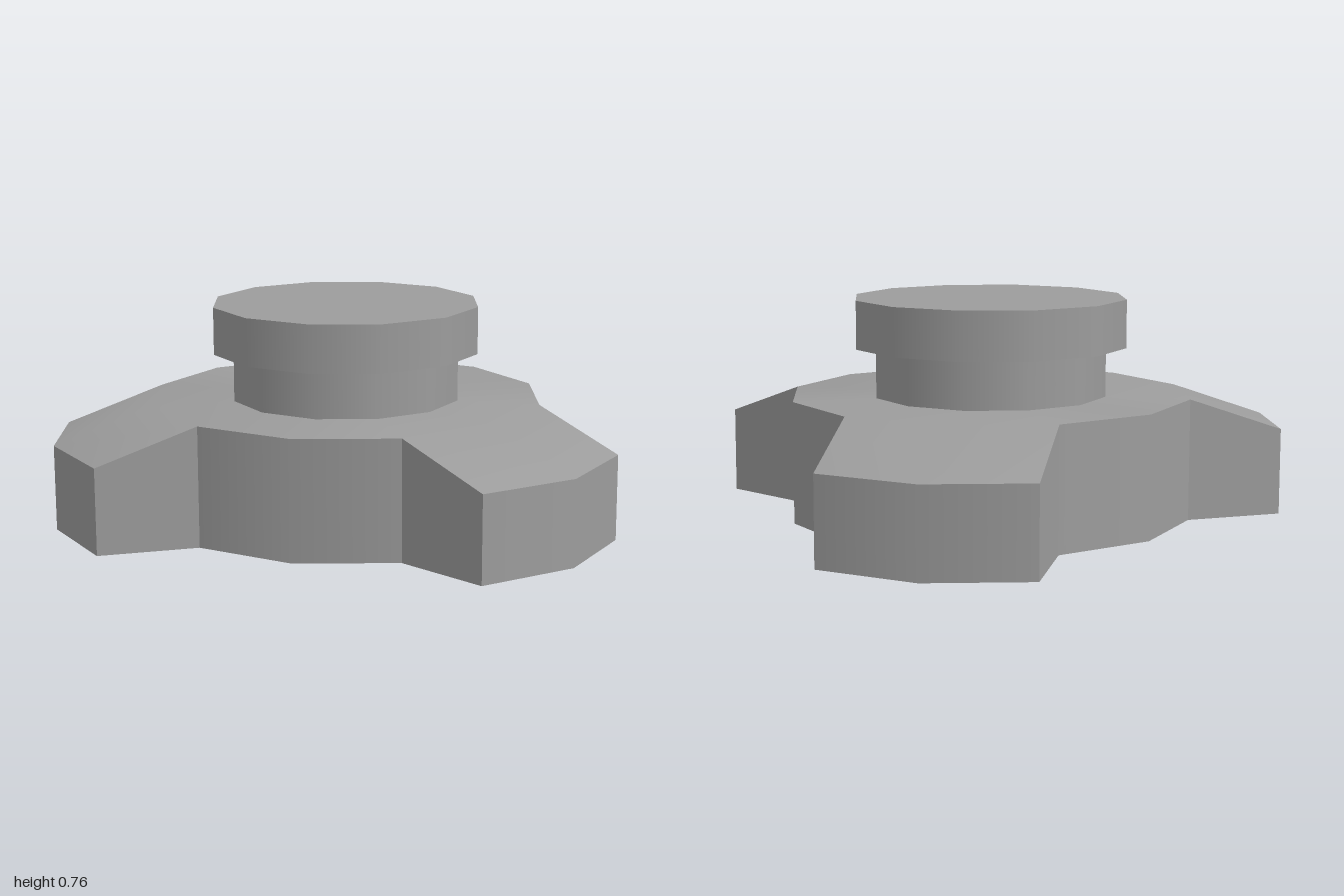
import * as THREE from 'three';
import { toCreasedNormals } from 'three/addons/utils/BufferGeometryUtils.js';

const SIDES = 12, CREASE = 0.6;
const HUB_R = 0.7, HUB_H = 0.42, TIP_H = 0.3;
const ARM_X = 0.952, ARM_Z = 0.35, TIP_R = 1.045;

// Closed three-armed body: a 12-sided hub with arms that slope down outwards
function bodyGeometry() {
  const pos = [];
  const tri = (...pts) => pts.forEach((p) => pos.push(p.x, p.y, p.z));
  // the diagonal is flipped on every other quad, so smooth shading stays symmetric
  const quad = (a, b, c, d, flip) => {
    if (flip) { tri(b, c, d); tri(b, d, a); }
    else { tri(a, b, c); tri(a, c, d); }
  };
  const polar = (r, a, y) => new THREE.Vector3(r * Math.cos(a), y, r * Math.sin(a));
  const rim = (i) => polar(HUB_R, (i * Math.PI * 2) / SIDES, HUB_H);
  const outline = [];
  const top = new THREE.Vector3(0, HUB_H, 0), bottom = new THREE.Vector3();

  // flat hub top
  for (let i = 0; i < SIDES; i++) tri(top, rim(i + 1), rim(i));

  // arm tops, and the outline they share with the walls
  for (let k = 0; k < 3; k++) {
    const a = (k * Math.PI * 2) / 3, da = Math.atan2(ARM_Z, ARM_X);
    const r = Math.hypot(ARM_X, ARM_Z);
    const inner = [-1, 0, 1].map((j) => rim(k * 4 + j));
    const outer = [polar(r, a - da, TIP_H), polar(TIP_R, a, TIP_H), polar(r, a + da, TIP_H)];
    for (let j = 0; j < 2; j++) quad(inner[j], inner[j + 1], outer[j + 1], outer[j], j === 1);
    outline.push(inner[0], ...outer, inner[2], rim(k * 4 + 2));
  }

  // walls and underside
  outline.forEach((p, i) => {
    const q = outline[(i + 1) % outline.length];
    const p0 = p.clone().setY(0), q0 = q.clone().setY(0);
    quad(p0, p, q, q0, i % 2 === 1);
    tri(bottom, p0, q0);
  });

  const g = new THREE.BufferGeometry();
  g.setAttribute('position', new THREE.Float32BufferAttribute(pos, 3));
  return toCreasedNormals(g, CREASE);
}

export function createModel() {
  const model = new THREE.Group();
  model.name = 'threeArmedKnob';
  const material = new THREE.MeshStandardMaterial({ color: 0x9c9c9c });
  const add = (name, geometry, y = 0) => {
    const mesh = new THREE.Mesh(geometry, material);
    mesh.name = name;
    mesh.position.set(-0.135, y, 0);
    model.add(mesh);
  };
  const disc = (name, r, y0, y1) =>
    add(name, new THREE.CylinderGeometry(r, r, y1 - y0, SIDES), (y0 + y1) / 2);

  add('armedBody', bodyGeometry());
  disc('neck', 0.408, HUB_H, 0.59);
  disc('cap', 0.478, 0.59, 0.757);
  return model;
}
